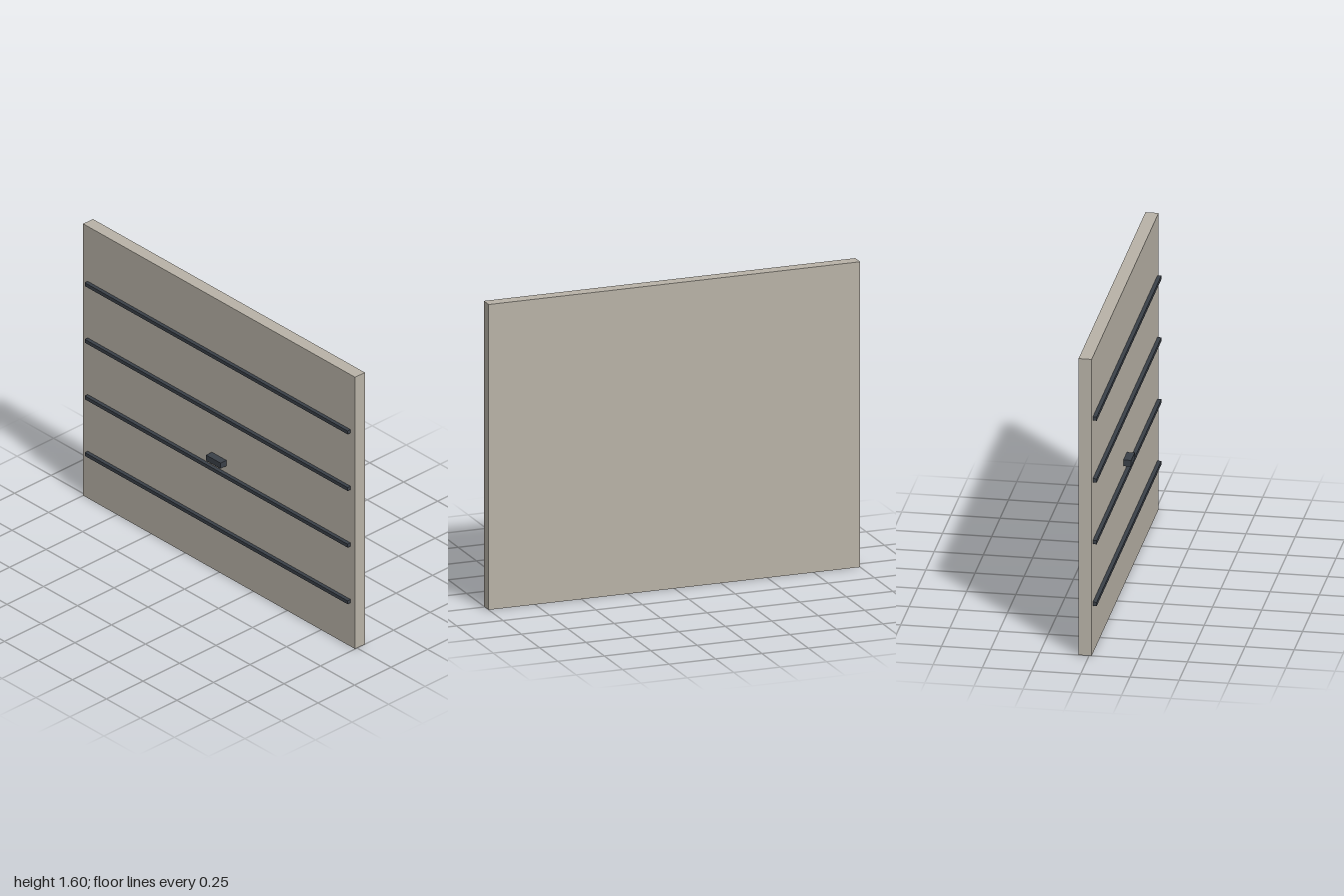
import * as THREE from 'three';

export function createModel() {
  const model = new THREE.Group();
  model.name = 'sectionalDoor';

  const panelMat = new THREE.MeshStandardMaterial({ color: 0xb8b2a7 });
  panelMat.name = 'warm grey panel';
  const trimMat = new THREE.MeshStandardMaterial({ color: 0x3a4048 });
  trimMat.name = 'dark slate trim';

  // Box centred on x, placed by its centre height and its back and front z
  function addBox(name, material, width, height, y, back, front) {
    const mesh = new THREE.Mesh(new THREE.BoxGeometry(width, height, front - back), material);
    mesh.name = name;
    mesh.position.set(0, y, (back + front) / 2);
    model.add(mesh);
  }

  const height = 1.6;
  const face = 0.0133; // z of the panel's front face

  // Flat door slab
  addBox('doorPanel', panelMat, 2, height, height / 2, -0.0533, face);

  // Four evenly spaced horizontal ribs
  for (let i = 0; i < 4; i++) {
    addBox(`rib${i + 1}`, trimMat, 1.933, 0.02, 0.2667 + i / 3, face, 0.0333);
  }

  // Pull handle
  addBox('handle', trimMat, 0.1067, 0.0333, 0.6667, face, 0.0533);

  return model;
}
